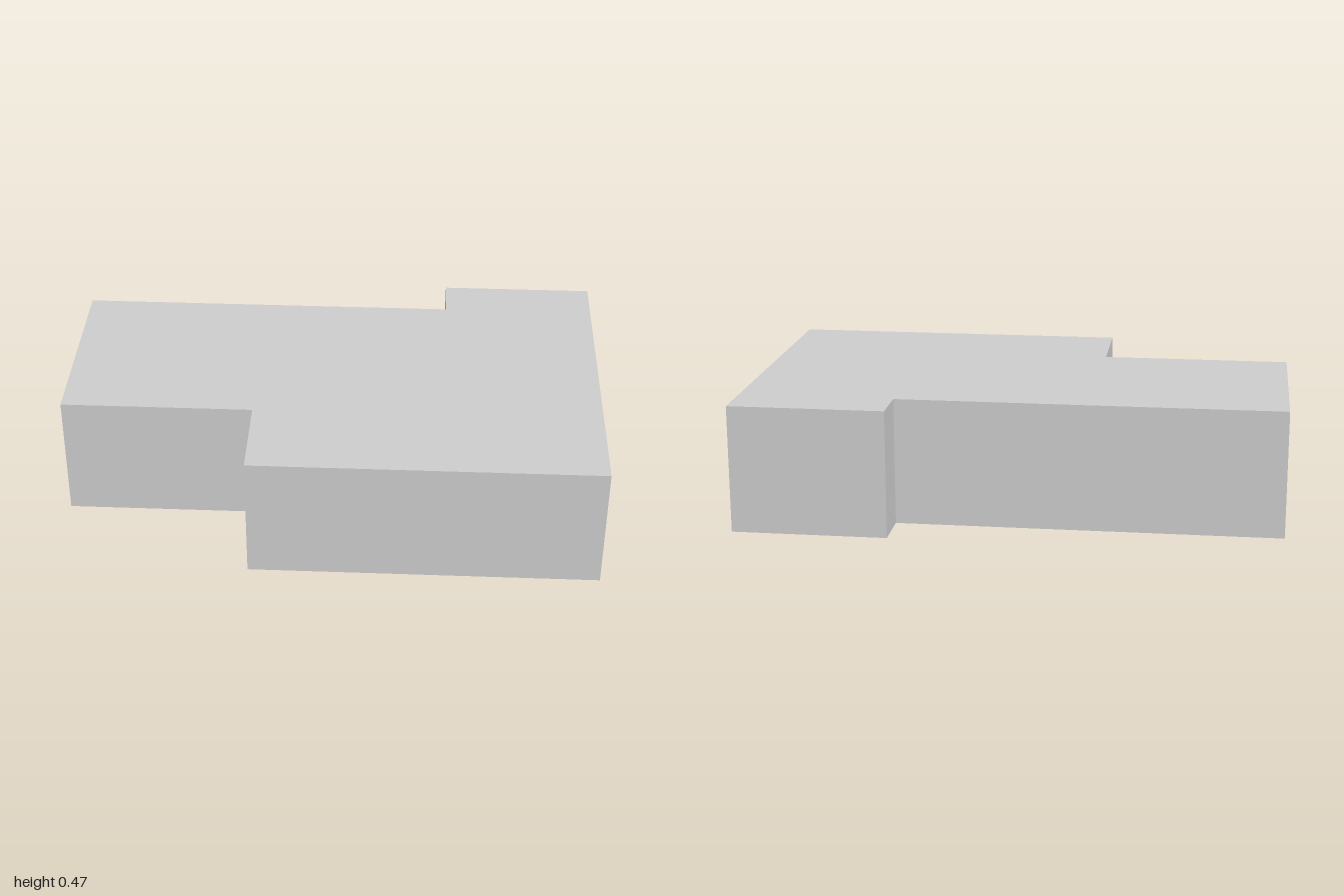
import * as THREE from 'three';

const T = 0.036, H = 0.474; // shell thickness and overall height
const DOOR = { z0: 0.338, z1: 0.51, y0: T, y1: 0.407 };
const material = new THREE.MeshStandardMaterial({ color: 0xcccccc, flatShading: true });

// Floor plan as [x, z, inset direction x, inset direction z]
const PLAN = [
  [-1, -0.46, 1, 1], [0.425, -0.46, 1, 1], [0.425, -0.63, 1, 1], [1, -0.63, -1, 1],
  [1, 0.627, -1, -1], [-0.289, 0.627, 1, -1], [-0.289, 0.283, 1, -1], [-1, 0.283, 1, -1],
];
const DOOR_EDGE = 3;

const outline = (inset) => PLAN.map(([x, z, dx, dz]) => [x + dx * inset, z + dz * inset]);

function addMesh(group, name, geometry) {
  const mesh = new THREE.Mesh(geometry, material);
  mesh.name = name;
  group.add(mesh);
}

// Geometry from a list of four-cornered faces, corners counter-clockwise
function quads(faces) {
  const positions = faces.flatMap(([a, b, c, d]) => [a, b, c, a, c, d].flat());
  const geometry = new THREE.BufferGeometry();
  geometry.setAttribute('position', new THREE.Float32BufferAttribute(positions, 3));
  geometry.computeVertexNormals();
  return geometry;
}

// Horizontal surface over the plan, facing up (1) or down (-1)
function slab(points, y, facing) {
  const shape = new THREE.Shape(points.map(([x, z]) => new THREE.Vector2(x, -facing * z)));
  return new THREE.ShapeGeometry(shape).rotateX(-facing * Math.PI / 2).translate(0, y, 0);
}

// Vertical surfaces round the plan, leaving the doorway open
function walls(points, y0, y1, inside) {
  const faces = [];
  const panel = (a, b, low, high) => {
    if (high - low < 1e-6) return;
    const [p, q] = inside ? [a, b] : [b, a];
    faces.push([[p[0], low, p[1]], [q[0], low, q[1]], [q[0], high, q[1]], [p[0], high, p[1]]]);
  };
  points.forEach((a, i) => {
    const b = points[(i + 1) % points.length];
    if (i !== DOOR_EDGE) return panel(a, b, y0, y1);
    const c = [a[0], DOOR.z0], d = [a[0], DOOR.z1];
    panel(a, c, y0, y1);
    panel(d, b, y0, y1);
    panel(c, d, y0, DOOR.y0);
    panel(c, d, DOOR.y1, y1);
  });
  return quads(faces);
}

// Sill, jambs and lintel through the wall thickness
function doorway() {
  const { z0, z1, y0, y1 } = DOOR;
  const ring = [[z0, y0], [z1, y0], [z1, y1], [z0, y1]];
  return quads(ring.map(([z, y], i) => {
    const [zn, yn] = ring[(i + 1) % 4];
    return [[1 - T, y, z], [1 - T, yn, zn], [1, yn, zn], [1, y, z]];
  }));
}

export function createModel() {
  const model = new THREE.Group();
  model.name = 'building';
  const outer = outline(0), inner = outline(T);

  // Outside of the building
  addMesh(model, 'outerWalls', walls(outer, 0, H, false));
  addMesh(model, 'roof', slab(outer, H, 1));
  addMesh(model, 'base', slab(outer, 0, -1));

  // Hollow room inside
  addMesh(model, 'innerWalls', walls(inner, T, H - T, true));
  addMesh(model, 'floor', slab(inner, T, 1));
  addMesh(model, 'ceiling', slab(inner, H - T, -1));

  addMesh(model, 'doorway', doorway());
  return model;
}
